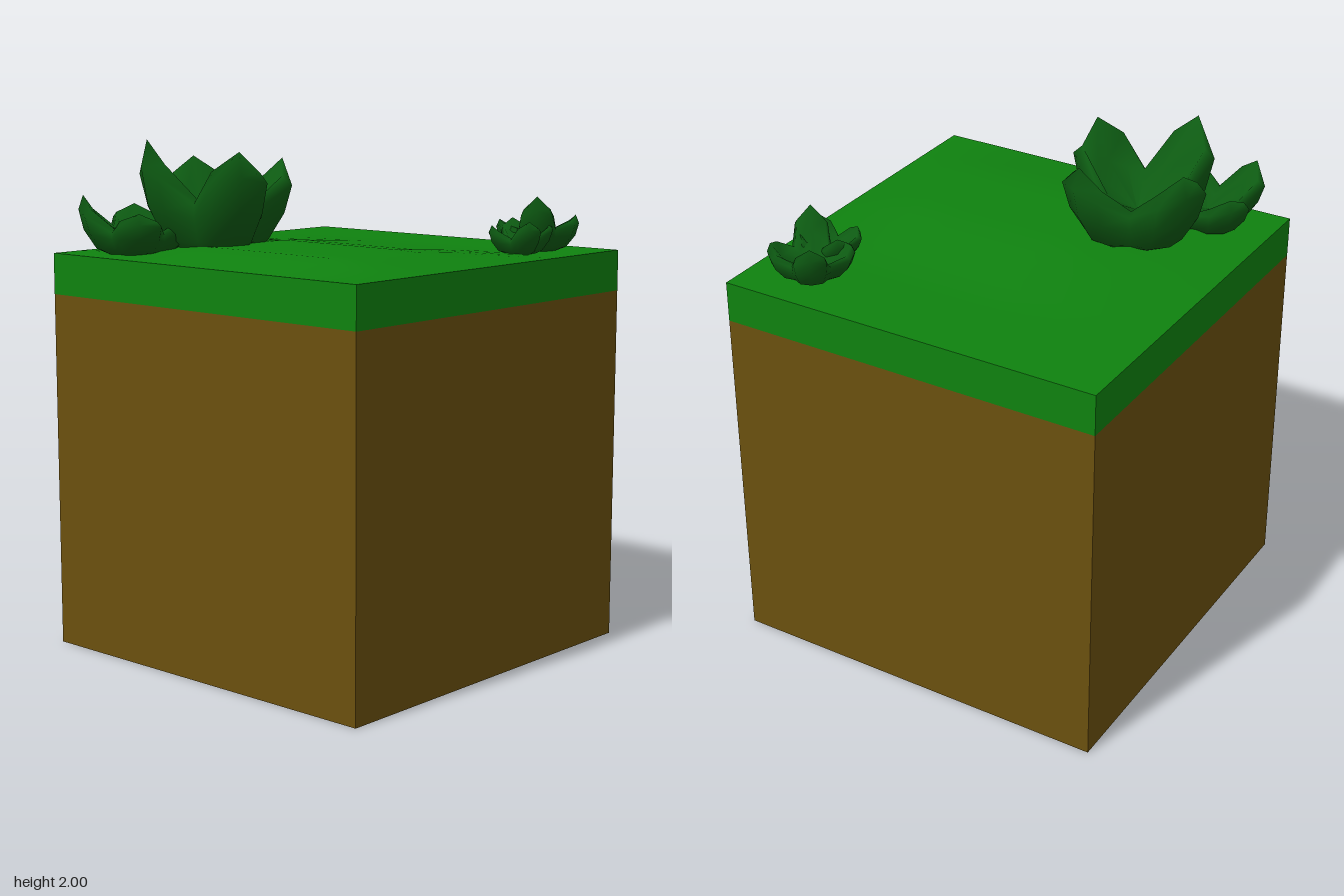
import * as THREE from 'three';

const grassMat = new THREE.MeshStandardMaterial({ color: 0x0f820f });
const dirtMat = new THREE.MeshStandardMaterial({ color: 0x6b500e });
const bushMat = new THREE.MeshStandardMaterial({ color: 0x0d5a12, side: THREE.DoubleSide });

const SIZE = 1.56;

// Rows of a bush from underside to inner pit: [radius, height] at petal tip, flank and valley
const ROWS = [
  [[0, 0], [0, 0], [0, 0]],
  [[0.14, 0], [0.14, 0], [0.12, 0]],
  [[0.21, 0.1], [0.2, 0.1], [0.16, 0.1]],
  [[0.275, 0.42], [0.265, 0.4], [0.19, 0.32]],
  [[0.3, 0.76], [0.295, 0.7], [0.19, 0.46]],
  [[0.275, 1], [0.255, 0.8], [0.16, 0.5]],
  [[0.2, 0.6], [0.18, 0.52], [0.11, 0.4]],
  [[0, 0.28], [0, 0.28], [0, 0.28]],
];

// Four-petalled cup; tips lists the height of each petal, starting at angle `turn`
function bush(name, x, y, z, scale, turn, tips) {
  const segs = 16, pos = [], index = [];
  const mean = tips.reduce((a, b) => a + b) / 4;
  ROWS.forEach((row, r) => {
    for (let s = 0; s < segs; s++) {
      const k = Math.floor(s / 4), f = (s % 4) / 4;
      const a = THREE.MathUtils.degToRad(turn) + (s / segs) * Math.PI * 2;
      const [rad, h] = row[[0, 1, 2, 1][s % 4]];
      const blend = f < 0.5 ? f * f * 2 : 1 - (1 - f) * (1 - f) * 2;
      const petal = THREE.MathUtils.lerp(tips[k], tips[(k + 1) % 4], blend);
      const height = r === ROWS.length - 1 ? mean : petal;
      pos.push(Math.cos(a) * rad * scale, h * height, Math.sin(a) * rad * scale);
    }
  });
  for (let r = 0; r < ROWS.length - 1; r++) {
    for (let s = 0; s < segs; s++) {
      const a = r * segs + s, b = r * segs + (s + 1) % segs;
      const c = a + segs, d = b + segs;
      if (r > 0) index.push(a, c, b);
      if (r < ROWS.length - 2) index.push(b, c, d);
      if (r === 0) index[index.length - 3] = b;
    }
  }
  const geo = new THREE.BufferGeometry();
  geo.setAttribute('position', new THREE.Float32BufferAttribute(pos, 3));
  geo.setIndex(index);
  geo.computeVertexNormals();
  const mesh = new THREE.Mesh(geo, bushMat);
  mesh.name = name;
  mesh.position.set(x, y, z);
  return mesh;
}

// Grass slab whose top swells into a low, broad mound
function grassGeometry() {
  const geo = new THREE.BoxGeometry(SIZE, 0.16, SIZE, 16, 1, 16);
  const p = geo.attributes.position;
  const ramp = (v, a, b, c, d) =>
    THREE.MathUtils.clamp(Math.min((v - a) / (b - a), (d - v) / (d - c)), 0, 1);
  for (let i = 0; i < p.count; i++) {
    if (p.getY(i) < 0) continue;
    const bump = ramp(p.getX(i), -0.78, -0.2, 0.45, 0.78) * ramp(p.getZ(i), -0.42, 0.08, 0.48, 0.78);
    p.setY(i, p.getY(i) + 0.04 * bump);
  }
  geo.computeVertexNormals();
  return geo;
}

export function createModel() {
  const model = new THREE.Group();
  model.name = 'grassBlock';

  // Soil cube
  const dirt = new THREE.Mesh(new THREE.BoxGeometry(SIZE, 1.4, SIZE), dirtMat);
  dirt.name = 'dirt';
  dirt.position.y = 0.7;

  // Turf layer
  const grass = new THREE.Mesh(grassGeometry(), grassMat);
  grass.name = 'grass';
  grass.position.y = 1.48;

  // Bushes in two clumps
  model.add(
    dirt, grass,
    bush('largeBush', -0.34, 1.57, 0.33, 1, 26, [0.39, 0.43, 0.35, 0.35]),
    bush('sideBush', -0.51, 1.56, 0.59, 0.74, 40, [0.17, 0.23, 0.18, 0.18]),
    bush('backBush', 0.54, 1.56, -0.57, 0.54, 55, [0.22, 0.12, 0.18, 0.14]),
    bush('smallBush', 0.57, 1.56, -0.42, 0.42, 37, [0.13, 0.11, 0.13, 0.13]),
  );
  return model;
}
